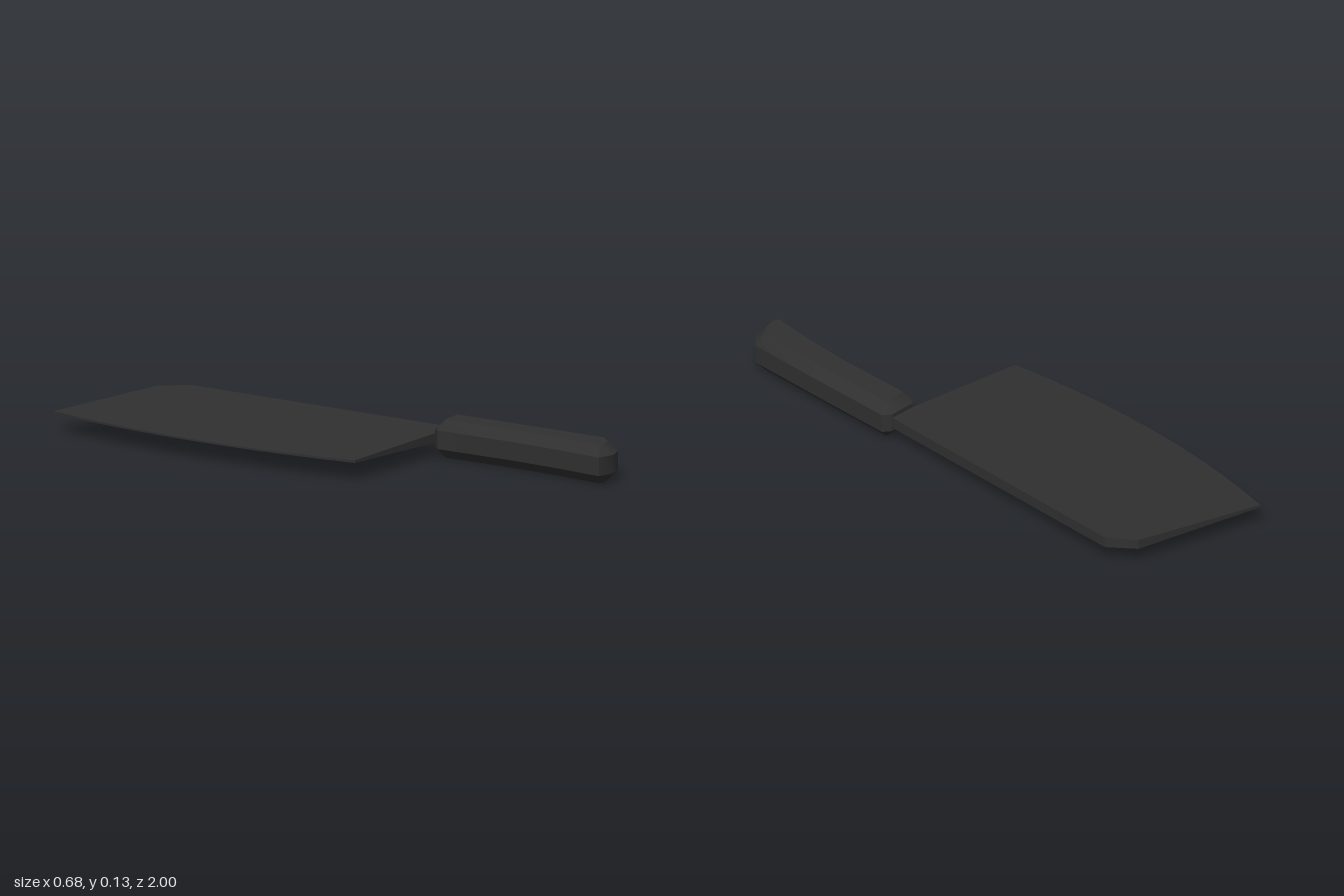
import * as THREE from 'three';
import { toCreasedNormals } from 'three/addons/utils/BufferGeometryUtils.js';

const MID_Y = 0.066;

// Extrudes a plan drawn in (x, -z) upwards along y
function extrudePlan(shape, options) {
  return new THREE.ExtrudeGeometry(shape, options).rotateX(-Math.PI / 2);
}

// Broad blade: a wedge that thins from the spine to the curved cutting edge
function bladeGeometry() {
  const plan = new THREE.Shape();
  plan.moveTo(-0.28, -0.29);
  plan.lineTo(0.295, -0.26);
  plan.lineTo(0.287, 0.86);
  plan.lineTo(0.21, 0.945);
  plan.lineTo(-0.28, 1);
  plan.quadraticCurveTo(-0.404, 0.36, -0.28, -0.29);

  const geometry = extrudePlan(plan, { depth: 1, bevelEnabled: false, curveSegments: 10 });
  const position = geometry.attributes.position;
  for (let i = 0; i < position.count; i++) {
    const halfThickness = 0.003 + (position.getX(i) + 0.342) * 0.025;
    const side = position.getY(i) > 0.5 ? 1 : -1;
    position.setY(i, MID_Y + side * halfThickness);
  }
  geometry.computeVertexNormals();
  return geometry;
}

// Handle: a slightly bent plan with one wide bevel all round
function handleGeometry() {
  const plan = new THREE.Shape([
    [0.16, 0.99], [0.225, 1.0], [0.285, 0.975], [0.337, 0.915],
    [0.333, 0.6], [0.325, 0.265], [0.295, 0.247], [0.19, 0.265], [0.17, 0.29],
    [0.18, 0.6], [0.174, 0.8],
  ].map(([x, z]) => new THREE.Vector2(x, -z)));

  const bevel = 0.034;
  const geometry = extrudePlan(plan, {
    depth: 2 * (MID_Y - bevel),
    bevelThickness: bevel,
    bevelSize: bevel,
    bevelOffset: -bevel,
    bevelSegments: 1,
  });
  geometry.translate(0, bevel, 0);
  return toCreasedNormals(geometry, 0.65);
}

export function createModel() {
  const darkSteel = new THREE.MeshStandardMaterial({ color: 0x303030 });
  darkSteel.name = 'darkSteel';

  const group = new THREE.Group();
  group.name = 'cleaver';

  const blade = new THREE.Mesh(bladeGeometry(), darkSteel);
  blade.name = 'blade';
  const handle = new THREE.Mesh(handleGeometry(), darkSteel);
  handle.name = 'handle';

  group.add(blade, handle);
  return group;
}
